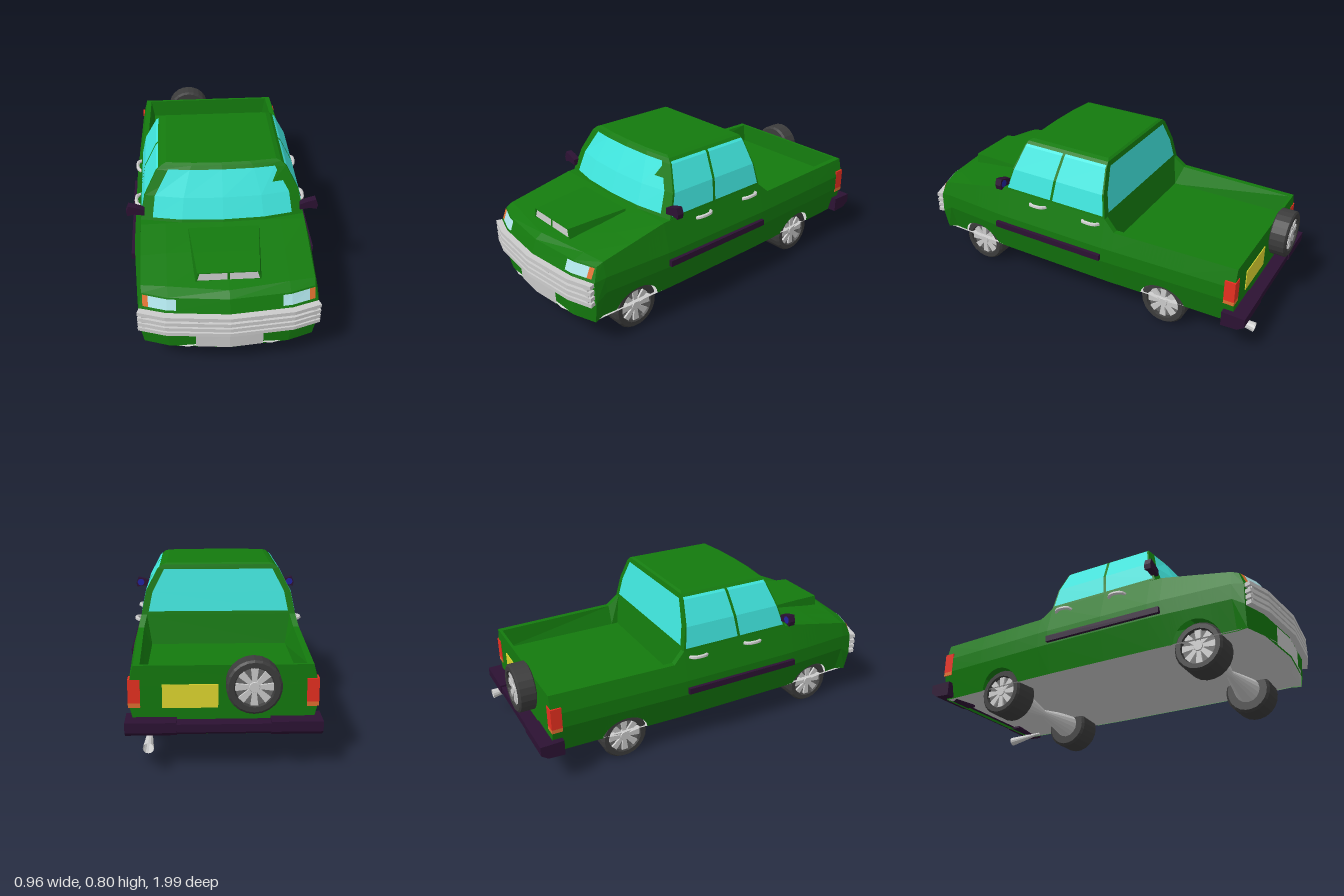
import * as THREE from 'three';

const mat = (color) => new THREE.MeshStandardMaterial({ color, flatShading: true, side: THREE.DoubleSide });
const GREEN = mat(0x147a0e), GLASS = mat(0x40e6de), GREY = mat(0xcccccc), TRIM = mat(0x2c1233);
const TYRE = mat(0x3c3c3c), DISC = mat(0x6a6a6a), RED = mat(0xe83020), ORANGE = mat(0xe07030);
const LAMP = mat(0xb0e4ea), YELLOW = mat(0xe0d830), BLUE = mat(0x2222a0);

// Piecewise linear lookup in [[key, value], ...]
function lookup(table, k) {
  if (k <= table[0][0]) return table[0][1];
  for (let i = 1; i < table.length; i++) {
    const [k0, v0] = table[i - 1], [k1, v1] = table[i];
    if (k <= k1) return v0 + (v1 - v0) * (k - k0) / (k1 - k0);
  }
  return table[table.length - 1][1];
}

// Surface through rows of points
function grid(rows) {
  const pos = [];
  for (let i = 0; i + 1 < rows.length; i++)
    for (let j = 0; j + 1 < rows[i].length; j++) {
      const a = rows[i][j], b = rows[i][j + 1], c = rows[i + 1][j + 1], d = rows[i + 1][j];
      pos.push(...a, ...b, ...c, ...a, ...c, ...d);
    }
  const g = new THREE.BufferGeometry();
  g.setAttribute('position', new THREE.Float32BufferAttribute(pos, 3));
  g.computeVertexNormals();
  return g;
}

const extrude = (points, depth) => new THREE.ExtrudeGeometry(
  new THREE.Shape(points.map(([x, y]) => new THREE.Vector2(x, y))), { depth, bevelEnabled: false });

// Body half width, taper along the length, and height of the top edge
const width = [[0.15, 0.41], [0.24, 0.435], [0.3, 0.45], [0.38, 0.45], [0.53, 0.41]];
const taper = [[-0.905, 0.945], [-0.2, 1], [0.45, 1], [0.9, 0.94]];
const topEdge = [[-0.25, 0.475], [-0.19, 0.53], [0.4, 0.53], [0.47, 0.527], [0.83, 0.455]];
const bodyX = (y, z) => lookup(width, y) * lookup(taper, z);

// Nose: bowed in plan, leaning back slightly above the grille
const noseX = [[0.147, 0.405], [0.26, 0.425], [0.37, 0.42], [0.44, 0.405]];
const noseLean = [[0.147, -0.005], [0.26, 0], [0.37, 0], [0.44, -0.025]];
const noseBow = [[0, 0.96], [0.7, 0.932], [1, 0.89]];
const noseZ = (x, y) => lookup(noseBow, Math.abs(x) / lookup(noseX, y)) + lookup(noseLean, y);
const F = [-1, -0.7, 0, 0.7, 1];

// Cab: half width, front centre z, front corner z and rear z by height
const cabX = [[0.53, 0.41], [0.65, 0.385], [0.77, 0.322], [0.792, 0.297]];
const cabFront = [[0.53, 0.48], [0.65, 0.435], [0.77, 0.375], [0.792, 0.36]];
const cabCorner = [[0.53, 0.43], [0.65, 0.39], [0.77, 0.35], [0.792, 0.34]];
const cabRear = [[0.53, -0.19], [0.65, -0.17], [0.77, -0.15], [0.792, -0.145]];
const screenPoint = (y, f, out = 0) => {
  const z0 = lookup(cabFront, y), z1 = lookup(cabCorner, y);
  return [f * lookup(cabX, y), y, z0 + (z1 - z0) * lookup([[0, 0], [0.5, 0.2], [1, 1]], Math.abs(f)) + out];
};

const WHEELS = [0.635, -0.52], WHEEL_R = 0.123;

export function createModel() {
  const truck = new THREE.Group();
  const add = (name, geo, m, parent = truck) => {
    const mesh = new THREE.Mesh(geo, m);
    mesh.name = name;
    parent.add(mesh);
    return mesh;
  };
  const pair = (name, geo, m) => {
    add(name + 'Left', geo, m);
    add(name + 'Right', geo, m).scale.x = -1;
  };
  const box = (w, h, d, x, y, z) => new THREE.BoxGeometry(w, h, d).translate(x, y, z);

  // Body sides with close wheel arches
  const columns = [[0.83, 0.15]];
  for (const c of WHEELS) {
    const r = 0.125, a0 = Math.asin(0.027 / r), edge = r * Math.cos(a0);
    columns.push([c + edge, 0.15]);
    for (let i = 0; i <= 14; i++) {
      const a = a0 + (Math.PI - 2 * a0) * i / 14;
      columns.push([c + r * Math.cos(a), WHEEL_R + r * Math.sin(a)]);
    }
    columns.push([c - edge, 0.15]);
    if (c > 0) for (const z of [0.47, 0.4, 0.135, -0.19, -0.25]) columns.push([z, 0.15]);
  }
  columns.push([-0.905, 0.15]);
  const side = columns.map(([z, y0]) => [y0, 0.3, 0.38, lookup(topEdge, z)].map((y) => [bodyX(y, z), y, z]));
  side.unshift(noseX.map(([y, x]) => [x, y, noseZ(x, y)]));
  pair('bodySide', grid(side), GREEN);

  // Nose, hood, tail and underside
  const noseRows = noseX.map(([y, x]) => F.map((f) => [f * x, y, noseZ(f * x, y)]));
  add('nose', grid(noseRows), GREEN);
  const hood = [[0.83, 0.464], [0.66, 0.5], [0.47, 0.533], [0.4, 0.533]].map(([z, mid]) => {
    const e = lookup(topEdge, z), x = bodyX(e, z);
    return F.map((f) => [f * x, Math.abs(f) === 1 ? e : mid - 0.006 * Math.abs(f), z + (z > 0.8 ? 0.07 * (1 - Math.abs(f)) : 0)]);
  });
  add('hood', grid([noseRows[3], ...hood]), GREEN);
  add('tail', grid([0.15, 0.3, 0.38, 0.475].map((y) => [-1, 1].map((f) => [f * bodyX(y, -0.905), y, -0.905]))), GREEN);
  add('underside', grid([[0.945, 0.2], [0.885, 0.4], [0.45, 0.41], [-0.2, 0.41], [-0.905, 0.387]]
    .map(([z, x]) => [[-x, 0.153, z], [-0.6 * x, 0.168, z], [0.6 * x, 0.168, z], [x, 0.153, z]])), GREY);

  // Cargo bed: rail, inner walls, floor
  const bedRing = (xOf, yOf, front, rear) => {
    const half = [front, -0.25, rear].map((z) => [xOf(z), yOf(z), z]);
    return [...half, ...half.slice().reverse().map(([x, y, z]) => [-x, y, z])];
  };
  const railY = (z) => lookup(topEdge, z);
  const railX = (z) => bodyX(railY(z), z);
  add('bedWalls', grid([
    bedRing(railX, railY, -0.19, -0.905),
    bedRing((z) => railX(z) - 0.03, railY, -0.19, -0.89),
    bedRing(() => 0.355, () => 0.375, -0.215, -0.882)]), GREEN);
  add('bedFloor', grid([-0.215, -0.882].map((z) => [[-0.355, 0.375, z], [0.355, 0.375, z]])), GREEN);
  add('bedFrontWall', grid([[0.375, 0.355, -0.215], [0.53, 0.41, -0.19]].map(([y, x, z]) => [[-x, y, z], [x, y, z]])), GREEN);

  // Cab shell and roof
  const rings = cabX.map(([y, x]) => {
    const ring = [-1, -0.5, 0, 0.5, 1].map((f) => screenPoint(y, f));
    ring.push([x, y, lookup(cabRear, y)], [-x, y, lookup(cabRear, y)], ring[0]);
    return ring;
  });
  rings.push(rings[3].map(([x, , z]) => [x * 0.92, 0.8, 0.1 + (z - 0.1) * 0.95]));
  rings.push(rings[3].map(() => [0, 0.801, 0.1]));
  add('cab', grid(rings), GREEN);

  // Windows
  add('windshield', grid([[0.545, 0.86], [0.65, 0.87], [0.775, 0.835]].map(([y, f]) =>
    [-f, -0.5, 0, 0.5, f].map((g) => screenPoint(y, g, 0.002)))), GLASS);
  add('rearWindow', grid([0.548, 0.65, 0.768].map((y) => [-1, 1].map((f) =>
    [f * (lookup(cabX, y) - 0.035), y, lookup(cabRear, y) - 0.002]))), GLASS);
  const sideGlass = (front, rear) => grid([0.542, 0.65, 0.77, 0.78].map((y) => {
    const t = (y - 0.542) / 0.238;
    return [front, rear].map(([a, b]) => [lookup(cabX, y) + 0.002, y, a + (b - a) * t]);
  }));
  pair('frontDoorWindow', sideGlass([0.415, 0.34], [0.143, 0.113]), GLASS);
  pair('rearDoorWindow', sideGlass([0.128, 0.098], [-0.178, -0.143]), GLASS);

  // Hood scoop fading into the hood, with two vents
  const scoop = (z, xb, yb, xt, yt) => [[-xb, yb, z], [-xt, yt, z], [xt, yt, z], [xb, yb, z]];
  add('hoodScoop', grid([scoop(0.84, 0.155, 0.46, 0.145, 0.52), scoop(0.7, 0.166, 0.48, 0.158, 0.527),
    scoop(0.52, 0.178, 0.512, 0.174, 0.533)]), GREEN);
  add('scoopFace', grid([[[-0.155, 0.46, 0.835], [0.155, 0.46, 0.835]], [[-0.145, 0.52, 0.835], [0.145, 0.52, 0.835]]]), GREEN);
  pair('scoopVent', grid([[[0.006, 0.477, 0.841], [0.146, 0.477, 0.841]], [[0.006, 0.514, 0.838], [0.135, 0.514, 0.838]]]), GREY);

  // Grille: bowed bars joined by posts
  const barPlan = [...F.map((f) => [f * 0.43, 0.032]), ...F.slice().reverse().map((f) => [f * 0.42, 0])]
    .map(([x, o]) => [x, -(lookup(noseBow, Math.abs(x) / 0.43) + o)]);
  for (const y of [0.36, 0.326, 0.295, 0.265])
    add('grilleBar', extrude(barPlan, 0.02).rotateX(-Math.PI / 2).translate(0, y - 0.01, 0), GREY);
  for (const x of [0.125, 0.385])
    pair('grillePost', box(0.05, 0.1, 0.02, x, 0.313, noseZ(x, 0.3) + 0.012), GREY);

  // Headlights, indicators and front plate
  const onNose = (y0, y1, xs, out) => grid([y0, y1].map((y) => xs.map((x) => [x, y, noseZ(x, y) + out])));
  pair('headlight', onNose(0.385, 0.436, [0.247, 0.29, 0.376], 0.005), LAMP);
  pair('indicator', onNose(0.385, 0.436, [0.376, 0.402], 0.005), ORANGE);
  add('frontPlate', onNose(0.152, 0.245, [-0.16, 0, 0.16], 0.004), GREY);

  // Tail lights and rear plate
  pair('tailLight', box(0.055, 0.11, 0.055, 0.4, 0.355, -0.881), RED);
  pair('rearIndicator', box(0.055, 0.02, 0.055, 0.4, 0.29, -0.881), ORANGE);
  add('rearPlate', box(0.25, 0.11, 0.008, 0.15, 0.332, -0.905), YELLOW);

  // Rear bumper with raised wrapping ends
  const bumper = (pts, w, x) => extrude(pts.map(([z, y]) => [-z, y]), w).rotateY(Math.PI / 2).translate(x, 0, 0);
  add('rearBumper', bumper([[-0.89, 0.165], [-0.94, 0.165], [-0.97, 0.185], [-0.97, 0.222], [-0.89, 0.222]], 0.42, -0.21), TRIM);
  pair('bumperEnd', bumper([[-0.855, 0.155], [-0.94, 0.16], [-0.975, 0.185], [-0.975, 0.232], [-0.855, 0.235]], 0.23, 0.21), TRIM);

  // Side mouldings, door handles and mirrors
  pair('sideMoulding', box(0.03, 0.032, 0.655, 0.453, 0.325, 0.143), TRIM);
  for (const z of [0.215, -0.11]) {
    const curve = new THREE.CatmullRomCurve3([[0.412, 0.486, 0.05], [0.434, 0.494, 0.035], [0.436, 0.497, -0.03], [0.412, 0.494, -0.05]]
      .map(([x, y, dz]) => new THREE.Vector3(x, y, z + dz)));
    pair('doorHandle', new THREE.TubeGeometry(curve, 10, 0.01, 6), GREY);
  }
  const mirror = [[0.39, 0.56], [0.44, 0.568], [0.475, 0.56], [0.48, 0.585], [0.468, 0.618], [0.43, 0.608], [0.39, 0.592]];
  pair('mirror', extrude(mirror, 0.035).translate(0, 0, 0.405), TRIM);
  pair('mirrorGlass', new THREE.CircleGeometry(0.021, 8).translate(0.452, 0.589, 0.403), BLUE);

  // Wheel: outer face toward +y, then turned to its axis
  const tyreGeo = new THREE.LatheGeometry([[0, 0], [0.11, 0], [0.123, 0.012], [0.123, 0.138], [0.113, 0.15], [0.09, 0.15], [0.084, 0.125]]
    .map(([r, h]) => new THREE.Vector2(r, h)), 22);
  const spokeGeo = extrude([[0.02, -0.009], [0.084, -0.017], [0.084, 0.017], [0.02, 0.009]], 0.012)
    .rotateX(-Math.PI / 2).translate(0, 0.13, 0);
  const makeWheel = (name, thickness) => {
    const wheel = new THREE.Group(), rim = new THREE.Group();
    wheel.name = name;
    rim.name = 'rim';
    add('tyre', tyreGeo, TYRE, wheel).scale.y = thickness / 0.15;
    rim.position.y = thickness - 0.15;
    add('rimDisc', new THREE.CylinderGeometry(0.087, 0.087, 0.01, 22).translate(0, 0.126, 0), DISC, rim);
    add('hub', new THREE.CylinderGeometry(0.022, 0.032, 0.02, 12).translate(0, 0.137, 0), GREY, rim);
    for (let i = 0; i < 8; i++) add('spoke', spokeGeo, GREY, rim).rotation.y = i * Math.PI / 4;
    wheel.add(rim);
    truck.add(wheel);
    return wheel;
  };
  const axleGeo = new THREE.LatheGeometry([[0.07, -0.247], [0.02, 0], [0.07, 0.247]].map((p) => new THREE.Vector2(...p)), 16).rotateZ(Math.PI / 2);
  for (const z of WHEELS) {
    for (const s of [1, -1]) {
      const wheel = makeWheel('wheel', 0.15);
      wheel.rotation.z = -s * Math.PI / 2;
      wheel.position.set(s * 0.245, WHEEL_R, z);
    }
    add('axle', axleGeo, GREY).position.set(0, WHEEL_R + 0.002, z);
  }
  const spare = makeWheel('spareWheel', 0.09);
  spare.rotation.x = -Math.PI / 2;
  spare.position.set(-0.13, 0.4, -0.908);

  // Exhaust pipe flaring to the rear
  const pipe = new THREE.CylinderGeometry(0.025, 0.006, 0.21, 12, 1, true).rotateX(-Math.PI / 2 - 0.1);
  add('exhaust', pipe, GREY).position.set(0.335, 0.133, -0.89);

  return truck;
}
